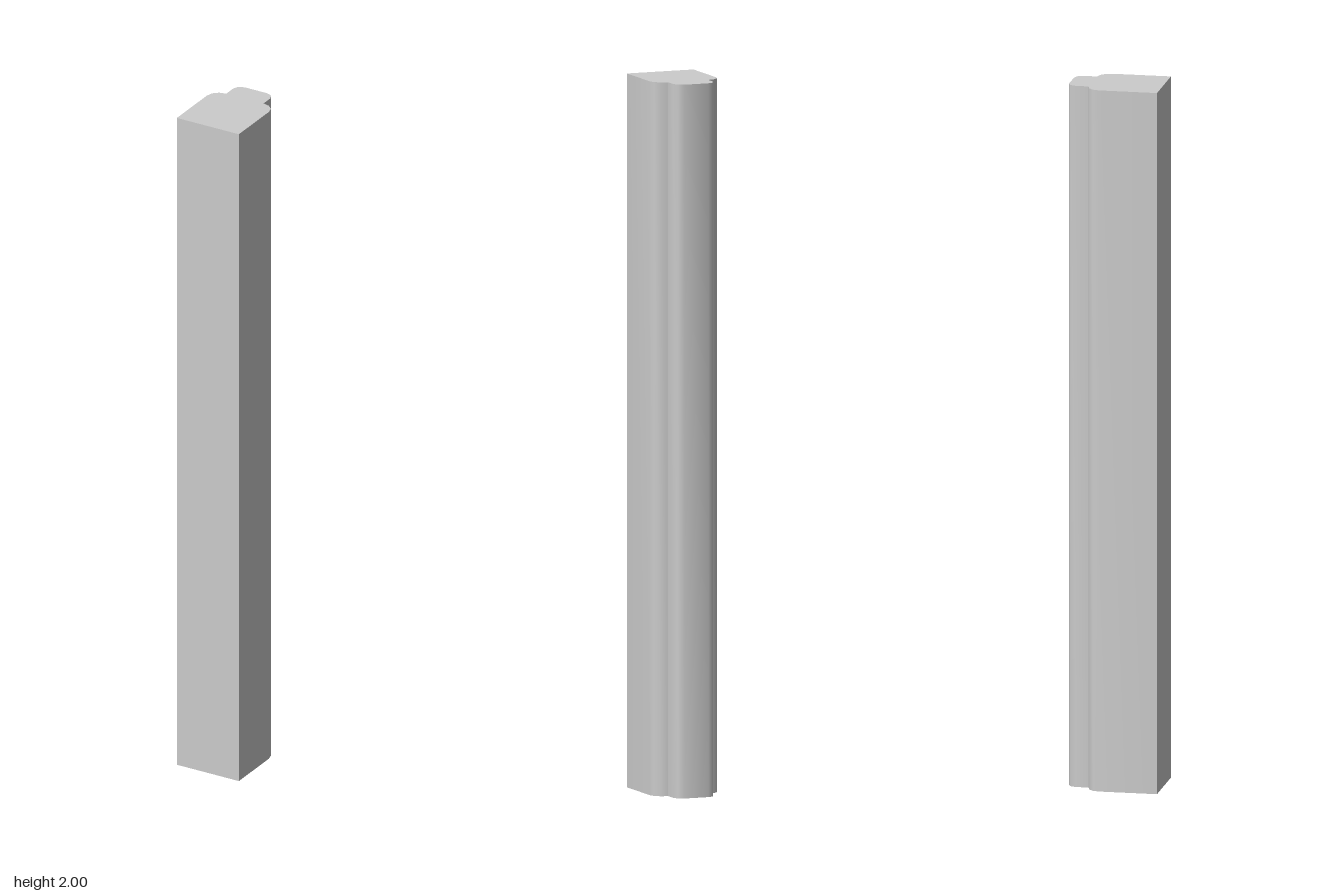
import * as THREE from 'three';
import { toCreasedNormals } from 'three/addons/utils/BufferGeometryUtils.js';

export function createModel() {
  const group = new THREE.Group();
  group.name = 'mouldedPost';

  // Half of the cross-section as [x, z], from the flat front to the stepped back
  const half = [
    [0.1, 0.13], [0.1, -0.033], [0.095, -0.052], [0.08, -0.066], // body and rounded shoulder
    [0.06, -0.071], [0.06, -0.107], [0.053, -0.124], [0.036, -0.131], // narrow rounded tongue
  ];
  const right = half.map(([x, z]) => new THREE.Vector2(x, -z));
  const left = right.map((p) => new THREE.Vector2(-p.x, p.y)).reverse();

  // Extrude the mirrored section upwards
  const extruded = new THREE.ExtrudeGeometry(new THREE.Shape([...right, ...left]), {
    depth: 2,
    bevelEnabled: false,
  });
  extruded.rotateX(-Math.PI / 2);

  // Smooth the rounded edges, keep the corners sharp
  const geometry = toCreasedNormals(extruded, 0.9);
  const post = new THREE.Mesh(geometry, new THREE.MeshStandardMaterial({ color: 0xcccccc }));
  post.name = 'post';
  group.add(post);

  return group;
}
